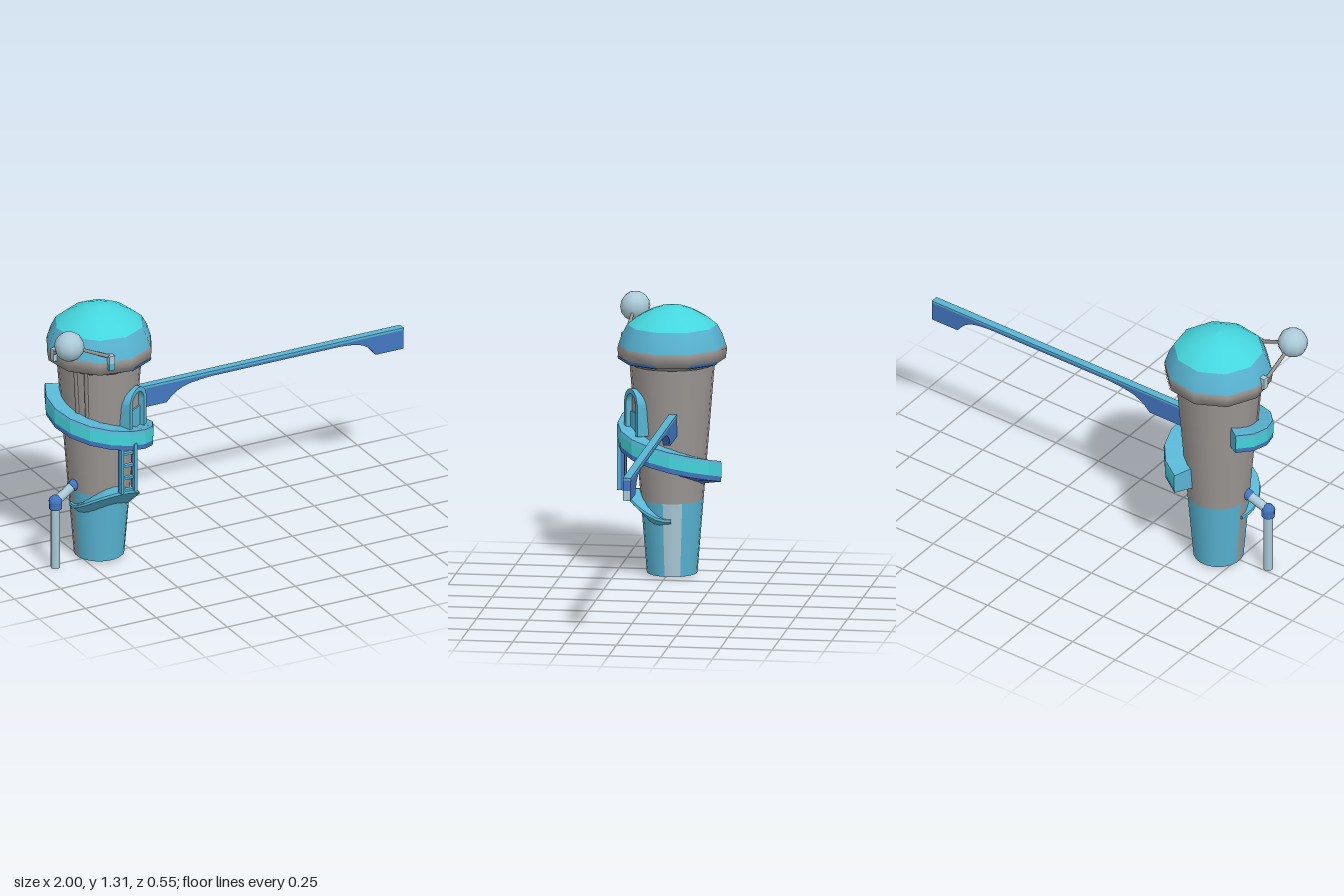
import * as THREE from 'three';

const mat = (name, color, side = THREE.FrontSide) => {
  const m = new THREE.MeshStandardMaterial({ color, side });
  m.name = name;
  return m;
};
const rad = THREE.MathUtils.degToRad;
const CX = -0.65, CZ = -0.02; // tower axis

// point around the tower axis; azimuth 0 = +x, 90 = front
const around = (az, r, y) =>
  new THREE.Vector3(CX + r * Math.cos(rad(az)), y, CZ + r * Math.sin(rad(az)));
const bodyR = (y) => 0.12 + 0.081 * y;

export function createModel() {
  const root = new THREE.Group();
  root.name = 'tower';
  const stone = mat('stone grey', 0x9c9793);
  const blue = mat('sky blue', 0x58b4d3);
  const cyan = mat('bright cyan', 0x45d6de);
  const navy = mat('deep blue', 0x4377c2);
  const pale = mat('pale blue', 0xabcbd9);

  const add = (name, geo, m, parent = root) => {
    const mesh = new THREE.Mesh(geo, m);
    mesh.name = name;
    parent.add(mesh);
    return mesh;
  };
  const box = (name, m, w, h, d, x, y, z, parent) => {
    const mesh = add(name, new THREE.BoxGeometry(w, h, d), m, parent);
    mesh.position.set(x, y, z);
    return mesh;
  };
  const rod = (name, m, a, b, r, sides = 8) => {
    const dir = b.clone().sub(a);
    const mesh = add(name, new THREE.CylinderGeometry(r, r, dir.length(), sides), m);
    mesh.position.copy(a).add(b).multiplyScalar(0.5);
    mesh.quaternion.setFromUnitVectors(new THREE.Vector3(0, 1, 0), dir.normalize());
    return mesh;
  };
  // lathe around the tower axis between two azimuths
  const turn = (name, m, pts, sides, az0 = 9, az1 = 369) => {
    const geo = new THREE.LatheGeometry(
      pts.map(([r, y]) => new THREE.Vector2(r, y)), sides, rad(90 - az1), rad(az1 - az0));
    const mesh = add(name, geo, m);
    mesh.position.set(CX, 0, CZ);
    return mesh;
  };
  // sweep a section [[r, y], ...] around the tower; one material per section side
  const sweep = (name, section, mats, capMat, az0, az1, n) => {
    const g = new THREE.Group();
    g.name = name;
    root.add(g);
    const build = (pos, m, label) => {
      const geo = new THREE.BufferGeometry().setFromPoints(pos);
      geo.computeVertexNormals();
      add(label, geo, m, g);
    };
    mats.forEach((m, k) => {
      const pos = [];
      for (let i = 0; i < n; i++) {
        const a = az0 + (az1 - az0) * i / n, b = az0 + (az1 - az0) * (i + 1) / n;
        const sa = section(a), sb = section(b);
        const p = around(b, ...sb[k]), q = around(a, ...sa[k]);
        const r = around(a, ...sa[k + 1]), s = around(b, ...sb[k + 1]);
        pos.push(p, q, r, p, r, s);
      }
      build(pos, m, name + 'Face');
    });
    [az0, az1].forEach((az, e) => {
      const s = section(az).map((v) => around(az, ...v)), pos = [];
      for (let i = 1; i < s.length - 1; i++)
        pos.push(...(e ? [s[0], s[i], s[i + 1]] : [s[0], s[i + 1], s[i]]));
      build(pos, capMat, name + 'End');
    });
  };

  // tapered body, with the painted base in panels
  const baseTop = 0.37;
  turn('towerBody', stone, [[bodyR(baseTop), baseTop], [bodyR(1.03), 1.03]], 20);
  const panel = [[bodyR(0.01), 0.01], [bodyR(baseTop), baseTop]];
  turn('frontBasePanel', blue, panel, 9, 9, 171);
  turn('leftBaseStrip', pale, panel, 2, -27, 9);
  turn('rightBaseStrip', stone, panel, 1, 171, 189);
  turn('backBasePanel', blue, panel, 8, 189, 333);
  const floor = add('baseUnderside', new THREE.CircleGeometry(bodyR(0.01), 20, rad(9)), blue);
  floor.rotation.x = Math.PI / 2;
  floor.position.set(CX, 0.01, CZ);

  // slim pilasters on the upper body
  for (const az of [136, 152]) {
    rod('pilaster', stone, around(az, bodyR(0.8) - 0.004, 0.8),
      around(az, bodyR(1.04) - 0.004, 1.04), 0.012, 4);
  }

  // flared lip and two-tone dome
  turn('lip', stone, [[0.195, 1.02], [0.205, 1.035], [0.255, 1.053], [0.262, 1.1], [0.257, 1.118]], 10);
  turn('domeSkirt', blue, [[0.257, 1.118], [0.24, 1.17], [0.215, 1.217]], 10);
  turn('domeCap', cyan, [[0.215, 1.217], [0.17, 1.253], [0.11, 1.285], [0.05, 1.306], [0, 1.311]], 10);
  for (const [a, b] of [[9, 81], [-63, -27]]) {
    turn('lipStripe', navy, [[0.24, 1.044], [0.259, 1.051], [0.261, 1.066]], (b - a) / 36, a, b);
  }

  // spiral walkway
  sweep('walkway', (az) => {
    const y = 0.65 + 0.095 * az / 90, i = bodyR(y) - 0.02;
    return [[i, y - 0.12], [0.26, y - 0.1], [0.262, y - 0.075], [0.264, y - 0.018], [0.26, y], [i, y]];
  }, [navy, navy, cyan, blue, blue], blue, -72, 216, 13);

  // hood over the base
  sweep('hood', (az) => {
    const c = Math.max(0, Math.sin(rad(az)));
    const y = 0.295 + 0.115 * c * c, i = bodyR(y) - 0.015;
    return [[i, y - 0.03 - 0.07 * c], [i + 0.025 + 0.062 * c, y - 0.012], [i + 0.022 + 0.062 * c, y], [i, y]];
  }, [blue, blue, blue], blue, -6, 186, 16);

  // arched doorway
  const arch = (w, h) => {
    const s = new THREE.Shape();
    s.moveTo(-w, 0).lineTo(w, 0).lineTo(w, h);
    s.absarc(0, h, w, 0, Math.PI, false);
    s.lineTo(-w, 0);
    return s;
  };
  const door = new THREE.Group();
  door.name = 'doorway';
  door.position.copy(around(58, 0.155, 0.7));
  door.rotation.y = rad(90 - 58);
  root.add(door);
  const frame = arch(0.08, 0.14);
  frame.holes.push(arch(0.056, 0.14));
  add('doorFrame', new THREE.ExtrudeGeometry(frame, { depth: 0.06, bevelEnabled: false, curveSegments: 8 }), blue, door);
  add('doorLeaf', new THREE.ExtrudeGeometry(arch(0.057, 0.14), { depth: 0.03, bevelEnabled: false, curveSegments: 8 }), stone, door);
  box('doorLowerPanel', blue, 0.11, 0.1, 0.008, 0, 0.05, 0.034, door);

  // ladder
  for (const x of [-0.658, -0.587]) {
    box('ladderRail', navy, 0.015, 0.25, 0.018, x, 0.54, 0.209);
    box('ladderRailFront', blue, 0.015, 0.25, 0.018, x, 0.54, 0.226);
  }
  for (let i = 0; i < 4; i++) box('ladderRung', blue, 0.06, 0.012, 0.02, -0.6225, 0.425 + i * 0.064, 0.217);

  // bridge: side slab with curved haunches and a deck plate
  const side = new THREE.Shape();
  side.moveTo(-0.58, 0.705).lineTo(-0.28, 0.705);
  side.bezierCurveTo(-0.22, 0.77, -0.18, 0.783, -0.03, 0.79);
  side.lineTo(0.66, 0.79);
  side.bezierCurveTo(0.78, 0.783, 0.8, 0.77, 0.85, 0.705);
  side.lineTo(1, 0.705).lineTo(1, 0.803).lineTo(-0.58, 0.803);
  const slab = add('bridgeSlab', new THREE.ExtrudeGeometry(side, { depth: 0.036, bevelEnabled: false, curveSegments: 6 }), navy);
  slab.position.z = -0.068;
  box('bridgeDeck', blue, 1.58, 0.012, 0.038, 0.21, 0.809, -0.05);
  box('bridgeEndPlate', pale, 0.004, 0.045, 0.034, 0.999, 0.73, -0.05);

  // drain pipe
  const elbow = new THREE.Vector3(-0.91, 0.345, 0.025);
  const outlet = new THREE.Vector3(-0.76, 0.425, 0.0);
  rod('drainPipe', pale, new THREE.Vector3(-0.91, 0, 0.025), elbow, 0.023);
  rod('drainBranch', pale, elbow, outlet, 0.023);
  rod('drainCollar', navy, elbow.clone().lerp(outlet, 0.62), outlet, 0.027);
  rod('drainElbowRing', navy, new THREE.Vector3(-0.91, 0.31, 0.025), elbow, 0.032);
  add('drainElbow', new THREE.SphereGeometry(0.034, 8, 6), navy).position.copy(elbow);

  // ball held by two braced arms
  const ball = new THREE.Vector3(-0.928, 1.24, 0.2);
  add('ball', new THREE.SphereGeometry(0.073, 10, 8), pale).position.copy(ball);
  rod('ballArm', stone, ball, new THREE.Vector3(-0.715, 1.145, 0.215), 0.009, 6);
  rod('ballArm', stone, ball, new THREE.Vector3(-0.905, 1.115, 0.0), 0.009, 6);
  box('armBracket', pale, 0.03, 0.04, 0.03, -0.715, 1.135, 0.22);
  box('armBracketFoot', blue, 0.03, 0.035, 0.03, -0.715, 1.098, 0.22);
  box('armBracket', pale, 0.03, 0.06, 0.03, -0.9, 1.11, 0.0);

  return root;
}
